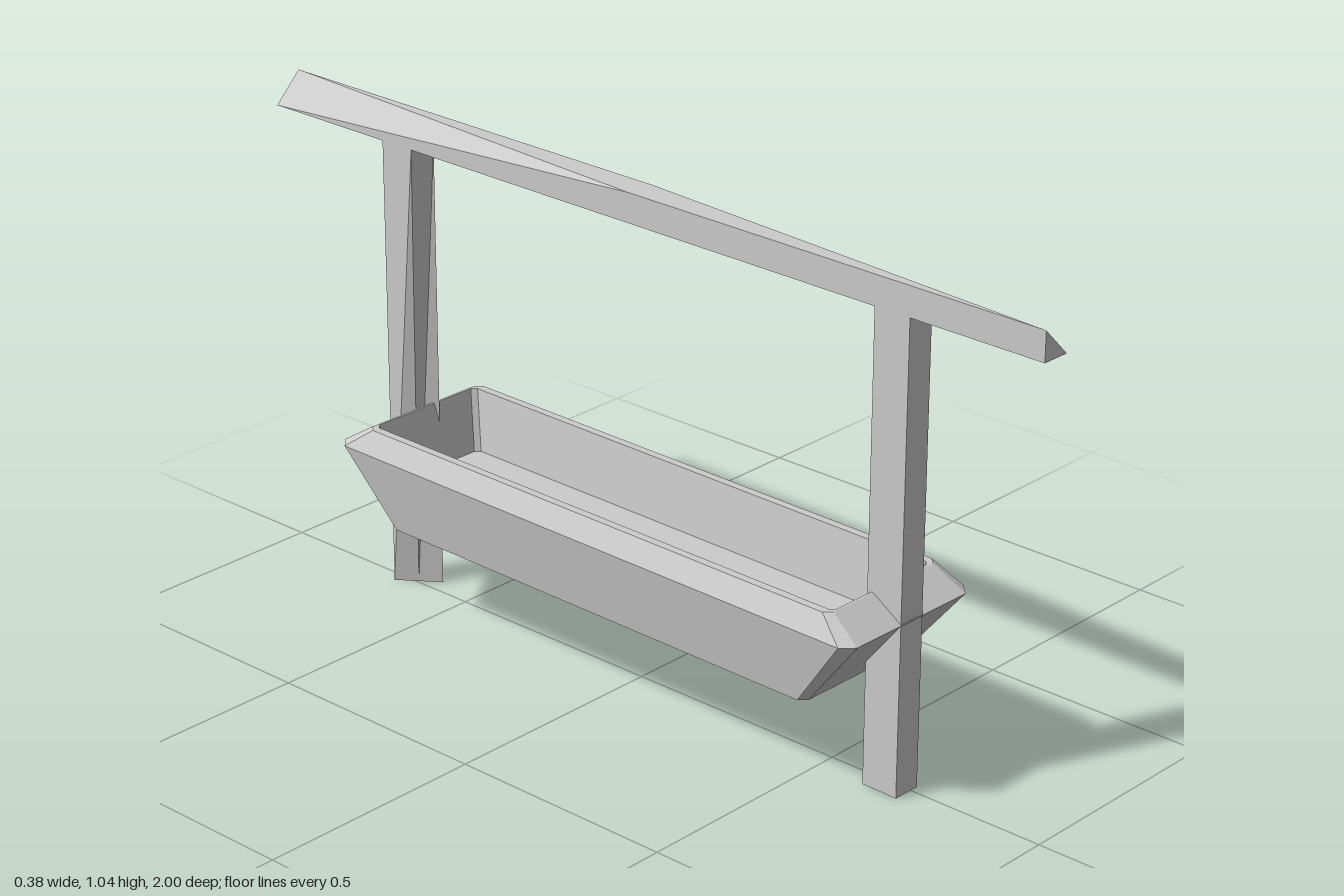
import * as THREE from 'three';

const material = new THREE.MeshStandardMaterial({ color: 0xcccccc, flatShading: true });

// Rectangle with cut corners, lying flat at height y
function ring(hx, hz, y, cut) {
  return [
    [hx, hz - cut], [hx - cut, hz], [cut - hx, hz], [-hx, hz - cut],
    [-hx, cut - hz], [cut - hx, -hz], [hx - cut, -hz], [hx, cut - hz],
  ].map(([x, z]) => new THREE.Vector3(x, y, z));
}

// Skin a list of rings, closing the first (facing down) and last (facing up)
function loft(rings) {
  const points = [];
  const n = rings[0].length;
  for (let r = 0; r < rings.length - 1; r++) {
    const a = rings[r], b = rings[r + 1];
    for (let i = 0; i < n; i++) {
      const j = (i + 1) % n;
      points.push(a[i], b[i], a[j], b[i], b[j], a[j]);
    }
  }
  const first = rings[0], last = rings[rings.length - 1];
  for (let i = 1; i < n - 1; i++) {
    points.push(first[0], first[i], first[i + 1]);
    points.push(last[0], last[i + 1], last[i]);
  }
  const geometry = new THREE.BufferGeometry().setFromPoints(points);
  geometry.computeVertexNormals();
  return geometry;
}

// Box whose corners can be shifted by a rule
function shapedBox(w, h, d, segments, rule) {
  const geometry = new THREE.BoxGeometry(w, h, d, 1, 1, segments);
  const pos = geometry.attributes.position;
  const v = new THREE.Vector3();
  for (let i = 0; i < pos.count; i++) {
    v.fromBufferAttribute(pos, i);
    rule(v);
    pos.setXYZ(i, v.x, v.y, v.z);
  }
  geometry.computeVertexNormals();
  return geometry;
}

export function createModel() {
  const model = new THREE.Group();
  model.name = 'hangingTrough';

  function add(name, geometry, x, y, z) {
    const mesh = new THREE.Mesh(geometry, material);
    mesh.name = name;
    mesh.position.set(x, y, z);
    model.add(mesh);
  }

  // Trough: flared outside, sloping rim, hollow inside
  add('trough', loft([
    ring(0.155, 0.56, 0.205, 0.015),
    ring(0.182, 0.69, 0.365, 0.025),
    ring(0.158, 0.62, 0.41, 0.015),
    ring(0.14, 0.615, 0.41, 0.01),
    ring(0.123, 0.59, 0.28, 0.01),
  ]), 0, 0, 0.006);

  // Posts: the back one has an inner corner hewn away toward its foot
  add('frontPost', new THREE.BoxGeometry(0.062, 0.98, 0.083), 0, 0.49, 0.653);
  add('backPost', shapedBox(0.062, 0.98, 0.083, 1, (v) => {
    if (v.y < 0 && v.x < 0 && v.z > 0) v.set(0, v.y, 0);
  }), 0, 0.49, -0.642);

  // Top beam: one upper corner hewn away at each end, on opposite sides
  add('topBeam', shapedBox(0.062, 0.062, 2, 2, (v) => {
    if (v.y > 0 && v.x * v.z > 0.001) v.set(0, 0, v.z);
  }), 0, 1.011, 0);

  // The whole frame stands slightly turned
  model.rotation.y = -0.0125;
  model.position.x = -0.004;
  return model;
}
